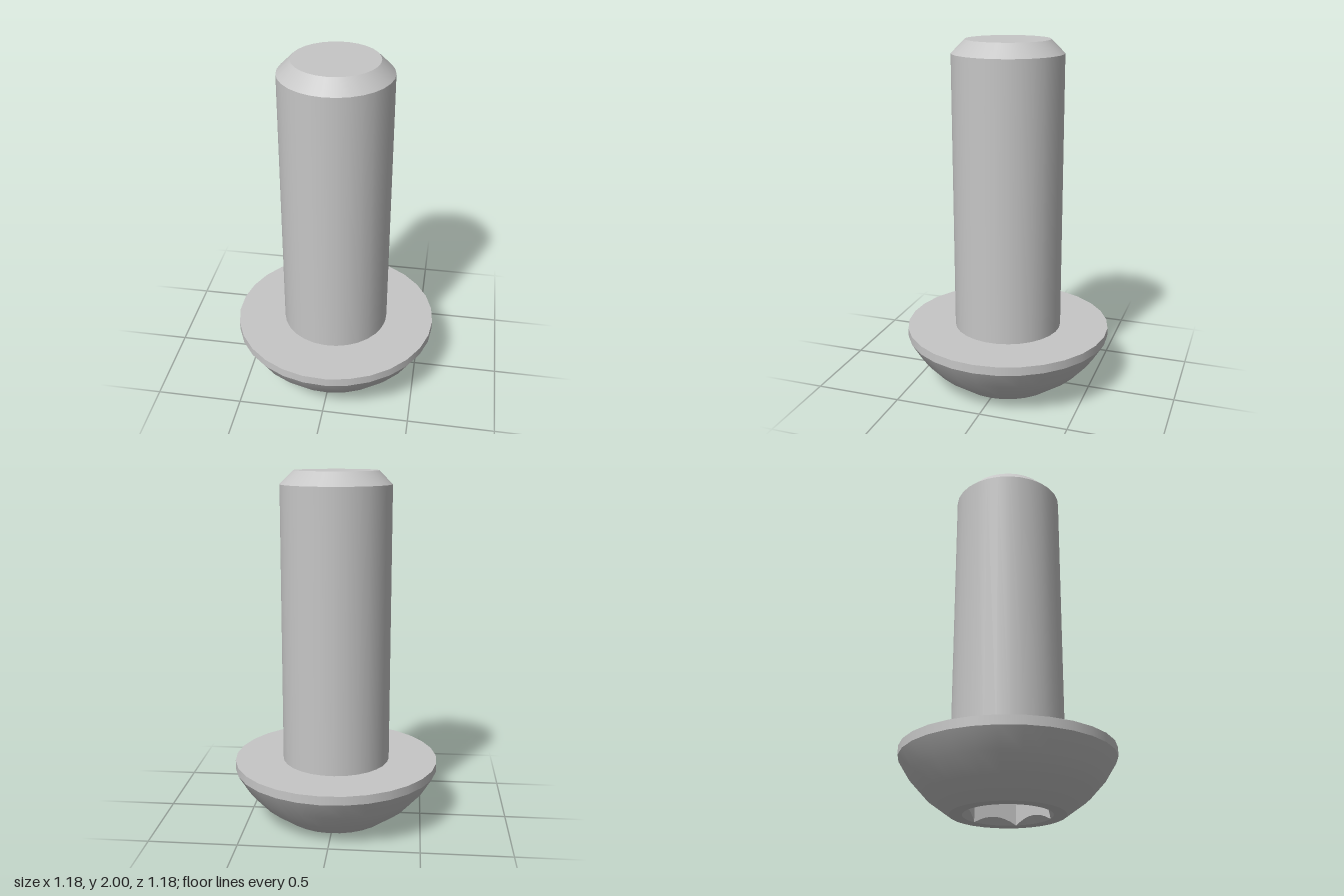
import * as THREE from 'three';
import { mergeGeometries } from 'three/addons/utils/BufferGeometryUtils.js';

const SEGMENTS = 29;
const SHAFT_R = 0.31, HEAD_R = 0.59, HEAD_H = 0.345;
const SOCKET_R = 0.24, SOCKET_DEPTH = 0.21, SOCKET_STEPS = 8;

// Each profile is turned on its own, so the edges between them stay sharp.
function turned(profiles, phiStart) {
  return mergeGeometries(profiles.map((p) => new THREE.LatheGeometry(
    p.map(([r, y]) => new THREE.Vector2(r, y)), SEGMENTS, phiStart)));
}

function circlePoints(radius, count) {
  return Array.from({ length: count }, (_, i) => {
    const a = (i / count) * Math.PI * 2;
    return new THREE.Vector2(radius * Math.cos(a), radius * Math.sin(a));
  });
}

// Hexagonal recess: cone countersink, six flat walls and a floor.
function socketGeometry() {
  const pos = [];
  const tri = (...pts) => pts.forEach((p) => pos.push(p.x, p.y, p.z));
  const quad = (a, b, c, d) => { tri(a, b, c); tri(a, c, d); };
  const apothem = SOCKET_R * Math.cos(Math.PI / 6);
  const top = new THREE.Vector3(0, SOCKET_DEPTH, 0);

  const column = (side, t) => {
    const mid = (side + 0.5) * Math.PI / 3;
    const a = mid + (t - 0.5) * Math.PI / 3;
    const r = apothem / Math.cos(a - mid);
    const at = (radius, y) => new THREE.Vector3(radius * Math.cos(a), y, radius * Math.sin(a));
    return { rim: at(SOCKET_R, 0), edge: at(r, (SOCKET_R - r) * 1.2), floor: at(r, SOCKET_DEPTH) };
  };

  for (let side = 0; side < 6; side++) {
    for (let i = 0; i < SOCKET_STEPS; i++) {
      const a = column(side, i / SOCKET_STEPS);
      const b = column(side, (i + 1) / SOCKET_STEPS);
      quad(a.rim, b.rim, b.edge, a.edge);
      quad(a.edge, b.edge, b.floor, a.floor);
      tri(a.floor, b.floor, top);
    }
  }
  const g = new THREE.BufferGeometry();
  g.setAttribute('position', new THREE.Float32BufferAttribute(pos, 3));
  g.computeVertexNormals();
  return g;
}

export function createModel() {
  const steel = new THREE.MeshStandardMaterial({ color: 0xc6c6c6 });
  steel.name = 'steel';
  const socketSteel = steel;

  const group = new THREE.Group();
  group.name = 'buttonHeadScrew';
  const add = (name, geometry, material = steel) => {
    const mesh = new THREE.Mesh(geometry, material);
    mesh.name = name;
    group.add(mesh);
    return mesh;
  };

  // Shaft with a chamfered tip
  add('shaft', turned([
    [[SHAFT_R, HEAD_H], [SHAFT_R, 1.925]],
    [[SHAFT_R, 1.925], [0.235, 2]],
    [[0.235, 2], [0, 2]],
  ], -Math.PI / 2));

  // Domed head, its rim and the bearing face
  add('head', turned([
    [[SHAFT_R, 0], [0.44, 0.095], [0.526, 0.19], [HEAD_R, 0.295]],
    [[HEAD_R, 0.295], [HEAD_R, HEAD_H]],
    [[HEAD_R, HEAD_H], [SHAFT_R - 0.01, HEAD_H]],
  ], Math.PI / 2));

  // Flat ring around the socket, facing down
  const ring = new THREE.Shape(circlePoints(SHAFT_R, SEGMENTS));
  ring.holes.push(new THREE.Path(circlePoints(SOCKET_R, 6 * SOCKET_STEPS)));
  add('headFace', new THREE.ShapeGeometry(ring).rotateX(Math.PI / 2));

  add('hexSocket', socketGeometry(), socketSteel);
  return group;
}
